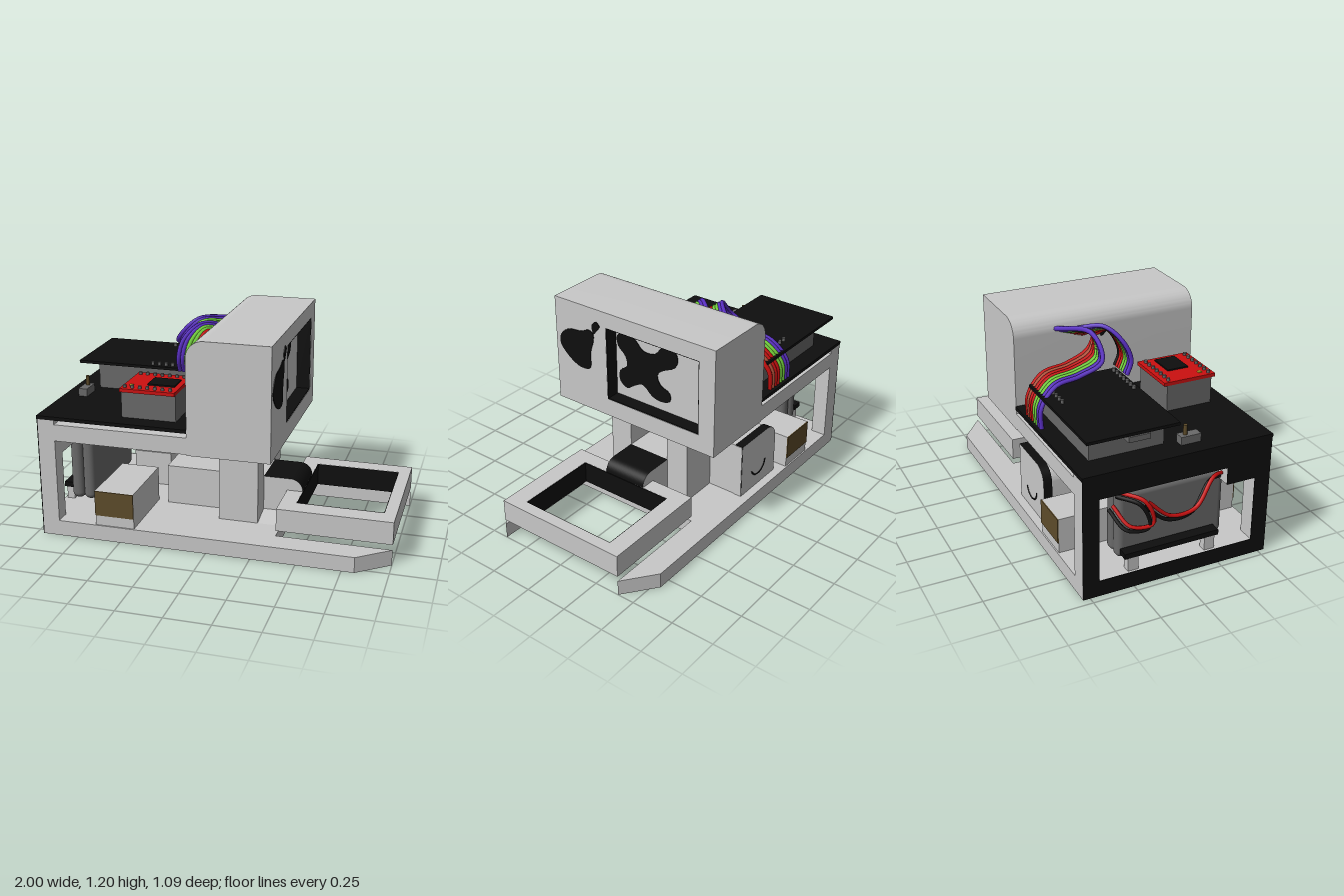
import * as THREE from 'three';
import { toCreasedNormals } from 'three/addons/utils/BufferGeometryUtils.js';
import { RoundedBoxGeometry } from 'three/addons/geometries/RoundedBoxGeometry.js';

export function createModel() {
  const group = new THREE.Group();
  const mat = (name, color) => {
    const m = new THREE.MeshStandardMaterial({ color });
    m.name = name;
    return m;
  };
  const grey = mat('light grey', 0xc8c8c8);
  const black = mat('black', 0x0e0e0e);
  const dark = mat('dark grey', 0x6a6a6a);
  const brown = mat('brown', 0x5e4c2a);
  const red = mat('red', 0xcc1010);
  const purple = mat('purple', 0x5a2fc4);
  const green = mat('green', 0x74d23c);
  const salmon = mat('salmon', 0xb4553c);
  const gold = mat('gold', 0xd8c030);

  const add = (name, geo, material) => {
    const m = new THREE.Mesh(geo, material);
    m.name = name;
    group.add(m);
    return m;
  };
  // Box from its lower and upper limits
  const box = (name, material, x0, x1, y0, y1, z0, z1) => {
    const g = new THREE.BoxGeometry(x1 - x0, y1 - y0, z1 - z0);
    g.translate((x0 + x1) / 2, (y0 + y1) / 2, (z0 + z1) / 2);
    return add(name, g, material);
  };
  const poly = (pts) => new THREE.Shape(pts.map(([a, b]) => new THREE.Vector2(a, b)));
  const rect = (a0, a1, b0, b1) => poly([[a0, b0], [a1, b0], [a1, b1], [a0, b1]]);
  const withHole = (shape, hole) => { shape.holes.push(hole); return shape; };
  const extrude = (shape, depth) =>
    new THREE.ExtrudeGeometry(shape, { depth, bevelEnabled: false, curveSegments: 10 });
  // Extrusions along x (shape in z,y), y (shape in x,z) and z (shape in x,y)
  const alongX = (name, material, shape, x0, x1) =>
    add(name, extrude(shape, x1 - x0).rotateY(-Math.PI / 2).translate(x1, 0, 0), material);
  const alongY = (name, material, shape, y0, y1) =>
    add(name, extrude(shape, y1 - y0).rotateX(Math.PI / 2).translate(0, y1, 0), material);
  const alongZ = (name, material, shape, z0, z1) =>
    add(name, toCreasedNormals(extrude(shape, z1 - z0), 0.5).translate(0, 0, z0), material);
  // Rectangle with a rounded upper corner on the -x side
  const roundLeft = (x0, x1, y0, y1, r) => {
    const s = new THREE.Shape();
    s.moveTo(x0, y0); s.lineTo(x1, y0); s.lineTo(x1, y1); s.lineTo(x0 + r, y1);
    s.absarc(x0 + r, y1 - r, r, Math.PI / 2, Math.PI, false);
    s.closePath();
    return s;
  };
  const tube = (name, material, pts, r = 0.012, seg = 28) => add(name, new THREE.TubeGeometry(
    new THREE.CatmullRomCurve3(pts.map((p) => new THREE.Vector3(...p))), seg, r, 6), material);

  // Base with two pointed prongs
  alongY('basePlate', grey, poly([[-0.96, -0.54], [0.82, -0.54], [1, -0.4], [0.36, -0.4],
    [0.36, 0.4], [1, 0.4], [0.82, 0.54], [-0.96, 0.54]]), 0, 0.09);

  // Open end wall with a black outer face, and the deck it carries
  const opening = () => poly([[-0.45, 0.09], [0.45, 0.09], [0.45, 0.47], [0.28, 0.47],
    [0.28, 0.57], [-0.45, 0.57]]);
  alongX('endWall', grey, withHole(rect(-0.54, 0.54, 0.09, 0.69), opening()), -0.956, -0.86);
  alongX('endWallFace', black, withHole(rect(-0.54, 0.54, 0, 0.69), opening()), -0.961, -0.956);
  box('deck', grey, -0.86, 0.3, 0.57, 0.665, -0.54, 0.54);
  box('circuitBoard', black, -0.962, -0.1, 0.69, 0.71, -0.543, 0.543);

  // Head housing with a recessed panel
  alongZ('head', grey, roundLeft(-0.1, 0.28, 0.565, 1.2, 0.1), -0.54, 0.54);
  alongX('headFrontFrame', grey,
    withHole(rect(-0.54, 0.54, 0.565, 1.2), rect(-0.44, 0.18, 0.67, 1.11)), 0.28, 0.36);
  alongX('recessLining', black,
    withHole(rect(-0.44, 0.18, 0.67, 1.11), rect(-0.435, 0.175, 0.675, 1.105)), 0.28, 0.358);

  // Dark blots painted on the head, as smooth outlines in z,y
  const blot = (name, pts, x) => {
    const curve = new THREE.CatmullRomCurve3(
      pts.map(([z, y]) => new THREE.Vector3(z, y, 0)), true);
    alongX(name, black, new THREE.Shape(curve.getPoints(72).map((p) => new THREE.Vector2(p.x, p.y))), x, x + 0.004);
  };
  blot('crossBlot', [[0.165, 1.04], [0.10, 1.08], [0.04, 1.05], [-0.015, 1.0], [-0.09, 1.005],
    [-0.15, 1.065], [-0.215, 1.073], [-0.247, 1.02], [-0.225, 0.962], [-0.152, 0.924],
    [-0.11, 0.883], [-0.13, 0.829], [-0.193, 0.797], [-0.193, 0.746], [-0.136, 0.727],
    [-0.073, 0.74], [-0.01, 0.79], [0.048, 0.765], [0.10, 0.733], [0.149, 0.765],
    [0.149, 0.829], [0.10, 0.873], [0.11, 0.93], [0.158, 0.978]], 0.28);
  blot('pearBlot', [[0.355, 0.813], [0.30, 0.825], [0.29, 0.93], [0.267, 1.01], [0.27, 1.05],
    [0.30, 1.063], [0.355, 1.041], [0.45, 1.025], [0.503, 0.978], [0.51, 0.924],
    [0.465, 0.867], [0.402, 0.825]], 0.36);
  blot('stemBlot', [[0.263, 1.05], [0.276, 1.095], [0.247, 1.127], [0.222, 1.105], [0.245, 1.07]], 0.36);

  // Twin columns under the head
  for (const s of [-1, 1]) {
    const z = 0.2 * s;
    box('column', grey, 0, 0.225, 0.09, 0.57, z - 0.07, z + 0.07);
  }
  alongX('columnFoot', grey, poly([[-0.27, 0.09], [0.27, 0.09], [0.13, 0.12], [-0.13, 0.12]]), 0.225, 0.36);

  // Centre block with a black curved nose
  box('centreBlock', grey, -0.35, 0.225, 0.09, 0.32, -0.13, 0.13);
  const nose = new THREE.Shape();
  nose.moveTo(0.225, 0.12); nose.lineTo(0.45, 0.12); nose.lineTo(0.45, 0.25);
  nose.absarc(0.38, 0.25, 0.07, 0, Math.PI / 2, false);
  nose.lineTo(0.225, 0.32);
  nose.closePath();
  const noseGeo = extrude(nose, 0.264).translate(0, 0, -0.132);
  add('curvedNose', noseGeo, [grey, black]);

  // Tray ring with a black lined hole
  alongY('trayRing', grey, withHole(rect(0.36, 1, -0.4, 0.4), rect(0.45, 0.935, -0.3, 0.29)), 0.12, 0.25);
  alongY('trayLining', black,
    withHole(rect(0.45, 0.935, -0.3, 0.29), rect(0.454, 0.931, -0.296, 0.286)), 0.121, 0.249);

  // Side motor with a black rimmed cap
  alongZ('motorBody', grey, roundLeft(-0.335, 0, 0.09, 0.42, 0.09), -0.44, -0.27);
  const cap = extrude(roundLeft(-0.345, 0, 0.09, 0.422, 0.09), 0.05).translate(0, 0, -0.49);
  add('motorCap', cap, [grey, black]);
  box('motorCapSide', grey, 0, 0.004, 0.09, 0.42, -0.488, -0.44);
  add('motorMark', new THREE.TorusGeometry(0.07, 0.005, 5, 20, Math.PI * 0.9)
    .rotateZ(Math.PI).translate(-0.17, 0.23, -0.49), black);

  // Side blocks with brown faces
  for (const s of [-1, 1]) {
    const a = 0.11 * s, b = 0.532 * s, c = 0.538 * s;
    box('sideBlock', grey, -0.64, -0.415, 0.09, 0.295, Math.min(a, b), Math.max(a, b));
    box('sideBlockFace', brown, -0.64, -0.415, 0.15, 0.295, Math.min(b, c), Math.max(b, c));
  }

  // Battery slabs, and the black bar on feet beside them
  for (const x of [-0.845, -0.773]) {
    add('battery', new RoundedBoxGeometry(0.075, 0.39, 0.62, 4, 0.034).translate(x, 0.325, 0), dark);
  }
  box('endBar', black, -0.95, -0.89, 0.17, 0.2, -0.3, 0.25);
  for (const z of [-0.25, 0.2]) box('barFoot', grey, -0.945, -0.9, 0.09, 0.17, z - 0.03, z + 0.03);

  // Upper black board on its socket
  box('boardSocket', dark, -0.815, -0.2, 0.71, 0.86, -0.44, -0.02);
  box('upperBoard', black, -0.925, -0.2, 0.86, 0.876, -0.5, 0.01);
  box('boardConnector', dark, -0.935, -0.84, 0.83, 0.86, -0.28, -0.16);

  // Red board on its socket, with chip and lamp
  box('redBoardSocket', dark, -0.5, -0.19, 0.71, 0.86, 0.17, 0.44);
  box('redBoard', red, -0.503, -0.19, 0.86, 0.88, 0.15, 0.46);
  box('chip', black, -0.375, -0.22, 0.88, 0.888, 0.24, 0.365);
  box('lamp', gold, -0.465, -0.445, 0.88, 0.886, 0.38, 0.4);

  // Header pins
  const pinRow = (z, x0, n, step, material) => {
    for (let i = 0; i < n; i++) {
      add('pin', new THREE.CylinderGeometry(0.01, 0.01, 0.02, 8)
        .translate(x0 + i * step, 0.885, z), material);
    }
  };
  pinRow(0.185, -0.48, 7, 0.043, dark);
  pinRow(0.43, -0.48, 7, 0.043, dark);
  pinRow(-0.43, -0.48, 7, 0.04, dark);
  pinRow(-0.02, -0.48, 7, 0.04, dark);

  // Toggle switch
  box('switchBody', dark, -0.872, -0.82, 0.71, 0.755, 0.05, 0.165);
  add('switchLever', new THREE.CylinderGeometry(0.011, 0.011, 0.06, 10).translate(-0.846, 0.78, 0.085), brown);

  // Two ribbons of coloured wires running into the head
  const colours = [purple, purple, green, green, red, red, salmon, red];
  colours.forEach((c, i) => {
    const x = -0.37 + i * 0.026;
    tube('longWire', c, [[x - 0.03, 0.71, -0.515], [x - 0.02, 0.82, -0.51], [x, 0.92, -0.42],
      [x, 0.95, -0.28], [x + 0.005, 1.01, -0.15], [(x - 0.12) / 2, 1.13 - i * 0.006, -0.16 + i * 0.008],
      [-0.09, 1.12 - i * 0.008, -0.3 + i * 0.022]], 0.0135, 40);
  });
  [purple, purple, green, green, red, red, black].forEach((c, i) => {
    const x = -0.3 + i * 0.024;
    tube('shortWire', c, [[x, 0.87, 0.03], [x, 0.95, 0.055], [x + 0.02, 1.05, 0.02],
      [(x - 0.1) / 2, 1.13 - i * 0.008, -0.06 + i * 0.008],
      [-0.09, 1.1 - i * 0.01, -0.19 + i * 0.027]], 0.0125);
  });

  // Loose battery leads at the open end
  const leads = [
    [[-0.86, 0.45, -0.33], [-0.95, 0.36, -0.27], [-0.985, 0.37, -0.16], [-0.975, 0.5, -0.2], [-0.88, 0.53, -0.3]],
    [[-0.88, 0.5, 0.32], [-0.95, 0.53, 0.2], [-0.988, 0.4, 0.08], [-0.985, 0.39, -0.06], [-0.975, 0.5, -0.19]],
  ];
  leads.forEach((pts) => {
    tube('redLead', red, pts, 0.011);
    tube('blackLead', black, pts.map(([x, y, z]) => [x + 0.008, y - 0.022, z - 0.018]), 0.011);
  });
  return group;
}
